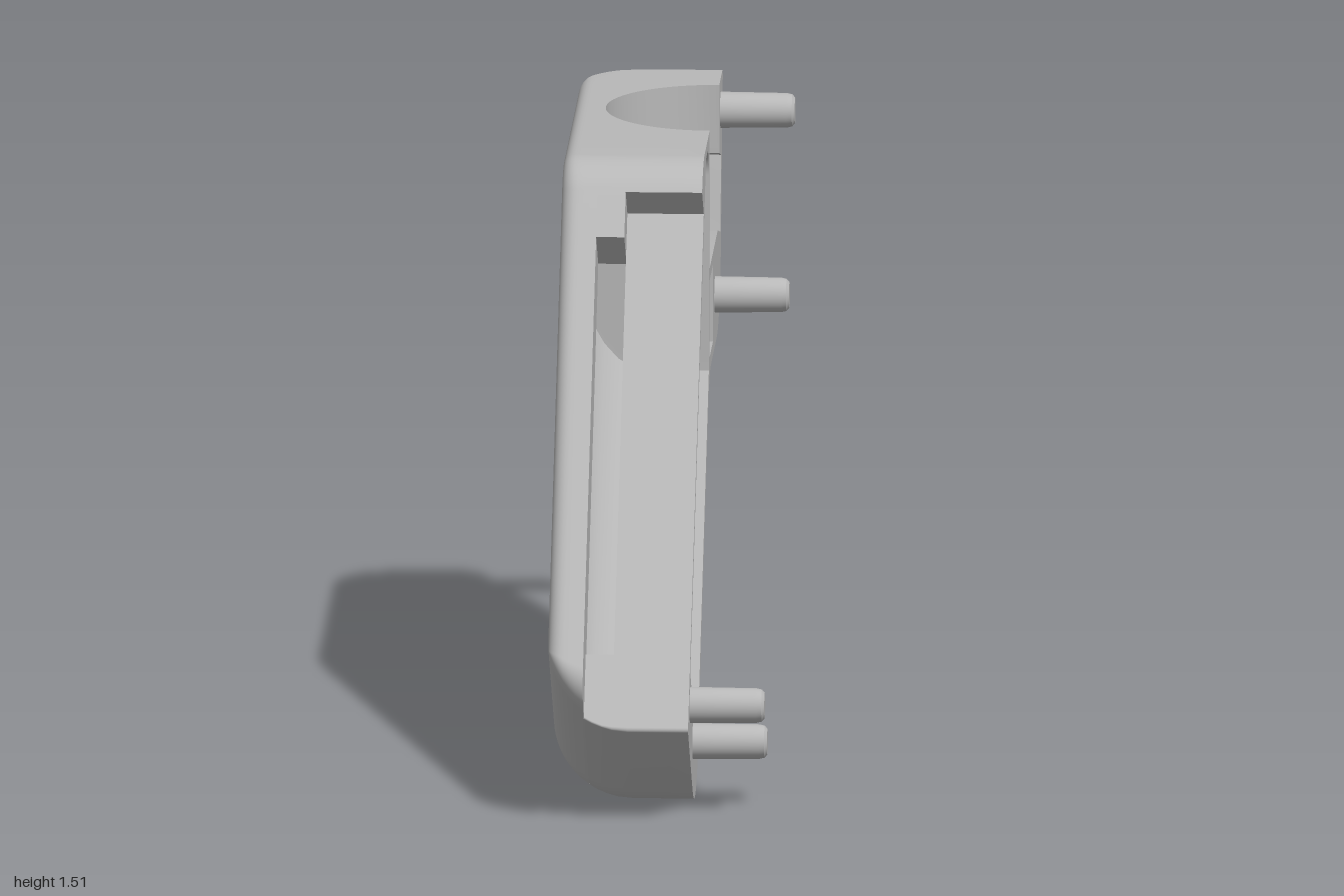
import * as THREE from 'three';
import { mergeGeometries, toCreasedNormals } from 'three/addons/utils/BufferGeometryUtils.js';

// 2D points live in the side plane, as (-z, y)
const P = (z, y) => new THREE.Vector2(-z, y);
// point on the sloping front: t runs down the handle, d goes into it
const A = (t, d) => P(0.11 + 0.62 * t - 0.785 * d, 1.515 - 0.785 * t - 0.62 * d);
const OUT = -0.27, SPLIT = 0.08, FLANGE = -0.18, STEP = -0.11, CAVITY = -0.235, BOX = -0.19, POCKET = -0.08;
const SLOT0 = 0.21, SLOT1 = 1.305, END = 1.516, FACE = 0.12, INNER = 0.15;
const VENT = P(-0.35, 1.035), VENT_R = 0.058;
const B0 = P(-0.869, 1.176), B1 = P(-0.893, 1.269);
const slotMid = A((SLOT0 + SLOT1) / 2, 0.135);

// corner of a profile: r rounds the corner, R rounds the following edge toward the side face
const V = (p, r = 0, R = 0, cuts = []) => ({ p, r, R, cuts });
const inset = (R, d) => (d >= R ? 0 : R - Math.sqrt(R * R - (R - d) ** 2));

// profile with every edge moved inward for depth d, corners rounded
function profile(verts, d) {
  const n = verts.length, pts = [];
  const lines = verts.map((v, i) => {
    const dir = verts[(i + 1) % n].p.clone().sub(v.p).normalize();
    const nrm = new THREE.Vector2(-dir.y, dir.x), o = inset(v.R, d);
    return { p: v.p.clone().addScaledVector(nrm, o), dir, nrm, o };
  });
  verts.forEach((v, i) => {
    const a = lines[(i + n - 1) % n], b = lines[i], turn = a.dir.cross(b.dir);
    const c = a.p.clone().addScaledVector(a.dir, b.p.clone().sub(a.p).cross(b.dir) / turn);
    if (!v.r) pts.push(c);
    else {
      const s = Math.sign(turn), phi = Math.acos(a.dir.dot(b.dir));
      const r = Math.max(0.005, v.r - s * (a.o + b.o) / 2);
      const centre = c.clone().addScaledVector(a.dir, -r * Math.tan(phi / 2)).addScaledVector(a.nrm, r * s);
      for (let k = 0; k <= 24; k++) {
        const arm = a.nrm.clone().multiplyScalar(-r * s).rotateAround(new THREE.Vector2(), s * phi * k / 24);
        pts.push(centre.clone().add(arm));
      }
    }
    for (const q of v.cuts) pts.push(b.p.clone().addScaledVector(b.dir, q.clone().sub(b.p).dot(b.dir)));
  });
  return pts;
}

const at = (x, pts) => pts.map(p => new THREE.Vector3(x, p.y, -p.x));

// openings left in the walls: top bowl, back window, front slot
function isOpen(m) {
  if (m.y > 1.51 && m.z > -0.8 && m.z < -0.26 && m.x > -0.2) return true;
  if (m.z < -0.85 && m.y > 1.17 && m.y < 1.3 && m.x > -0.07 && m.x < 0.03) return true;
  return m.x > FLANGE && m.x < STEP && Math.hypot(m.z + slotMid.x, m.y - slotMid.y) < 0.05;
}
const inVent = m => m.x < FLANGE && Math.hypot(m.z + VENT.x, m.y - VENT.y) < VENT_R * 0.97;

// skin through closed loops of 3D points
function loft(loops, flip = false) {
  const pos = [];
  for (let k = 0; k + 1 < loops.length; k++) {
    const L = loops[k], M = loops[k + 1], n = L.length;
    for (let i = 0; i < n; i++) {
      const j = (i + 1) % n, q = [L[i], L[j], M[j], M[i]];
      const mid = q.reduce((s, p) => s.add(p), new THREE.Vector3()).multiplyScalar(0.25);
      if (isOpen(mid)) continue;
      for (const t of [[q[0], q[1], q[2]], [q[0], q[2], q[3]]]) {
        const c = t[0].clone().add(t[1]).add(t[2]).divideScalar(3);
        if (inVent(c)) continue;
        (flip ? t.reverse() : t).forEach(p => pos.push(p.x, p.y, p.z));
      }
    }
  }
  return new THREE.BufferGeometry().setAttribute('position', new THREE.Float32BufferAttribute(pos, 3));
}

// flat plate in the side plane
function plate(x, pts, holes = [], flip = false) {
  const shape = new THREE.Shape(pts);
  holes.forEach(h => shape.holes.push(new THREE.Path(h)));
  const g = new THREE.ShapeGeometry(shape).rotateY(Math.PI / 2).translate(x, 0, 0).toNonIndexed();
  g.deleteAttribute('uv'); g.deleteAttribute('normal');
  if (flip) {
    const a = g.attributes.position.array;
    for (let i = 0; i < a.length; i += 9) for (let k = 0; k < 3; k++) [a[i + k], a[i + 3 + k]] = [a[i + 3 + k], a[i + k]];
  }
  return g;
}

const circle = (c, r) => Array.from({ length: 32 }, (_, i) =>
  new THREE.Vector2(c.x + r * Math.cos(i * Math.PI / 16), c.y + r * Math.sin(i * Math.PI / 16)));
const rect = (z0, z1, y0, y1) => [P(z1, y0), P(z0, y0), P(z0, y1), P(z1, y1)];

// outer surface near the vent, on the rounded lower edge
function skinX(p) {
  const i = -p.x > -0.338 ? Math.hypot(p.x - 0.338, p.y - 0.705) - 0.2 : p.y - 0.905;
  return OUT + 0.2 - Math.sqrt(Math.max(0, 0.04 - (0.2 - Math.min(i, 0.2)) ** 2));
}

export function createModel() {
  const grey = new THREE.MeshStandardMaterial({ color: 0xb8b8b8, side: THREE.DoubleSide });
  grey.name = 'grey plastic';
  const group = new THREE.Group();
  const add = (name, ...geos) => {
    const g = (geos.length > 1 ? mergeGeometries(geos) : geos[0]).scale(100, 100, 100);
    const mesh = new THREE.Mesh(toCreasedNormals(g, 0.55).scale(0.01, 0.01, 0.01), grey);
    mesh.name = name;
    group.add(mesh);
    return mesh;
  };

  // outer shell: heel, throat, head and top are shared; the front steps back in layers
  const ventCuts = Array.from({ length: 7 }, (_, i) => P(-0.35 - i * 0.0125, 0.905));
  const common = [
    V(P(0.527, -0.09), 0.22, 0.2),
    V(P(-0.24, 0.905), 0.2, 0.2, ventCuts),
    V(P(-0.842, 0.905), 0.24, 0.2, [B0, B1]),
    V(P(-1, 1.515), 0.02, 0.03, [P(-0.8, 1.515), P(-0.26, 1.515)]),
    V(P(0.11, 1.515), 0.165, 0.04),
  ];
  const front = [...common, V(A(END, 0), 0.1, 0.2, [A(END, INNER)])];
  const stepped = t => [...common, V(A(t, 0)), V(A(t, FACE), 0, 0, [A(SLOT1, FACE)]), V(A(END, FACE), 0.01, 0.2)];
  const stack = (verts, depths) => depths.map(d => at(OUT + d, profile(verts, d)));
  const outer = stack(front, [0, 0.0006, 0.0025, 0.0055, 0.01, 0.0155, 0.022, 0.03, 0.04, 0.055, 0.07, 0.09]);
  for (const p of outer.flat()) {
    const q = new THREE.Vector2(-p.z, p.y).sub(VENT), r = q.length();
    if (r > VENT_R * 0.7 && r < VENT_R + 0.0085) {
      q.multiplyScalar(VENT_R / r).add(VENT);
      p.set(skinX(q), q.y, -q.x);
    }
  }
  add('outerShell', loft(outer), loft(stack(stepped(SLOT0), [0.09, 0.11, 0.135, 0.16])),
    loft(stack(stepped(0.085), [0.16, 0.2, 0.3, 0.35])));

  // side face with round hole and window
  const hole = circle(P(-0.14, 1.41), 0.07), windowLoop = rect(-0.65, -0.37, 1.165, 1.35);
  add('sideFace', plate(OUT, profile(front, 0), [hole, windowLoop], true));
  add('sideHole', loft([at(OUT, hole), at(CAVITY, hole)], true));
  add('sideWindow', loft([at(OUT, windowLoop), at(BOX, windowLoop)], true));

  // front flange and the step above the slot
  const lip = profile(front, 0.09).filter(p => {
    const a = -p.x - 0.11, b = 1.515 - p.y;
    return 0.62 * a + 0.785 * b > SLOT0 && -0.785 * a + 0.62 * b < 0.16;
  });
  add('flangeInnerFace', plate(FLANGE, [A(SLOT0, INNER), A(SLOT0, 0), ...lip]));
  add('frontStep', plate(STEP, [A(0.085, 0), A(SLOT0, 0), A(SLOT0, FACE), A(0.085, FACE)]));
  const slotRing = d => [...at(FLANGE, [A(SLOT0, d), A(SLOT1, d)]), ...at(STEP, [A(SLOT1, d), A(SLOT0, d)])];
  add('slotEdge', loft([slotRing(FACE), slotRing(INNER)]));

  // hollow handle
  const cavity = [
    V(P(0.45, 0.07), 0, 0.165), V(P(-0.215, 0.915)), V(P(-0.215, 1.487), 0.075),
    V(A(-0.083, INNER), 0.03, 0, [A(SLOT0, INNER), A(SLOT1, INNER)]), V(A(1.34, INNER)),
  ];
  const hollow = [0, 0.002, 0.008, 0.018, 0.034, 0.055, 0.09, 0.125, 0.165, 0.315];
  add('handleCavity', loft(hollow.map(d => at(CAVITY + d, profile(cavity, d))), true),
    plate(CAVITY, profile(cavity, 0), [hole]));

  // head compartment under the round bowl
  const room = [P(-0.8, 1.355), P(-0.8, 1.342), P(-0.905, 1.315), B1, B0, P(-0.857, 1.13), P(-0.71, 1.165),
    P(-0.26, 1.165), P(-0.26, 1.355)];
  const roomWalls = [BOX, -0.07, 0.03, SPLIT].map(x => at(x, room));
  const ceiling = loft(roomWalls).toNonIndexed();
  const keep = [], arr = ceiling.attributes.position.array;
  for (let i = 0; i < arr.length; i += 9) // leave the bowl side open
    if (Math.min(arr[i + 1], arr[i + 4], arr[i + 7]) < 1.354) keep.push(...arr.slice(i, i + 9));
  ceiling.setAttribute('position', new THREE.Float32BufferAttribute(keep, 3));
  add('headCompartment', ceiling, plate(BOX, room, [rect(-0.65, -0.37, 1.166, 1.35)]));
  const bowl = new THREE.CylinderGeometry(0.27, 0.27, 0.16, 48, 1, true, Math.PI, Math.PI);
  add('bowlWall', bowl.translate(SPLIT, 1.435, -0.53));
  const rim = new THREE.Shape().absarc(SPLIT, 0.53, 0.27, -Math.PI / 2, Math.PI / 2, true);
  rim.lineTo(-0.2, 0.8).lineTo(-0.2, 0.26);
  for (const [name, y] of [['bowlRim', 1.515], ['bowlUnderside', 1.355]])
    add(name, new THREE.ShapeGeometry(rim, 24).rotateX(-Math.PI / 2).translate(0, y, 0));

  // small window through the back wall
  const e = new THREE.Vector2(0.158, 0.61).normalize(), nrm = new THREE.Vector2(e.y, -e.x);
  const depth = P(-1, 1.515).sub(B0).dot(nrm);
  const backRing = d => {
    const q = [B0, B1].map(p => p.clone().addScaledVector(nrm, d));
    return [...at(-0.07, q), ...at(0.03, q.reverse())];
  };
  add('backWindow', loft([backRing(0), backRing(depth)]));

  // square pocket with a vent running out to the side
  const pocket = rect(-0.445, -0.25, 0.94, 1.135), vent = circle(VENT, VENT_R);
  add('squarePocket', loft([at(POCKET, pocket), at(SPLIT, pocket)], true), plate(POCKET, pocket, [vent]));
  add('ventTube', loft([vent.map(p => new THREE.Vector3(skinX(p), p.y, -p.x)), at(POCKET, vent)], true));

  // flat joining face
  const edge = profile(stepped(0.085), 0.35);
  const cut = edge.findIndex(p => Math.abs(p.x - 0.8) < 1e-6 && p.y > 1.5);
  edge.splice(cut + 1, 0, ...room.slice(1, 8));
  add('joiningFace', plate(SPLIT, edge, [profile(cavity, 0.315), pocket]));

  // locating pegs
  const tip = [[0.045, 0], [0.043, 0.165], [0.04, 0.178], [0.032, 0.185], [0, 0.185]];
  for (const [z, y] of [[-0.88, 1.435], [-0.56, 1.035], [0.825, 0.29], [0.67, 0.165]]) {
    const peg = new THREE.LatheGeometry(tip.map(p => new THREE.Vector2(...p)), 28).rotateZ(-Math.PI / 2);
    add('locatingPeg', peg.translate(SPLIT, y, z));
  }
  return group;
}
